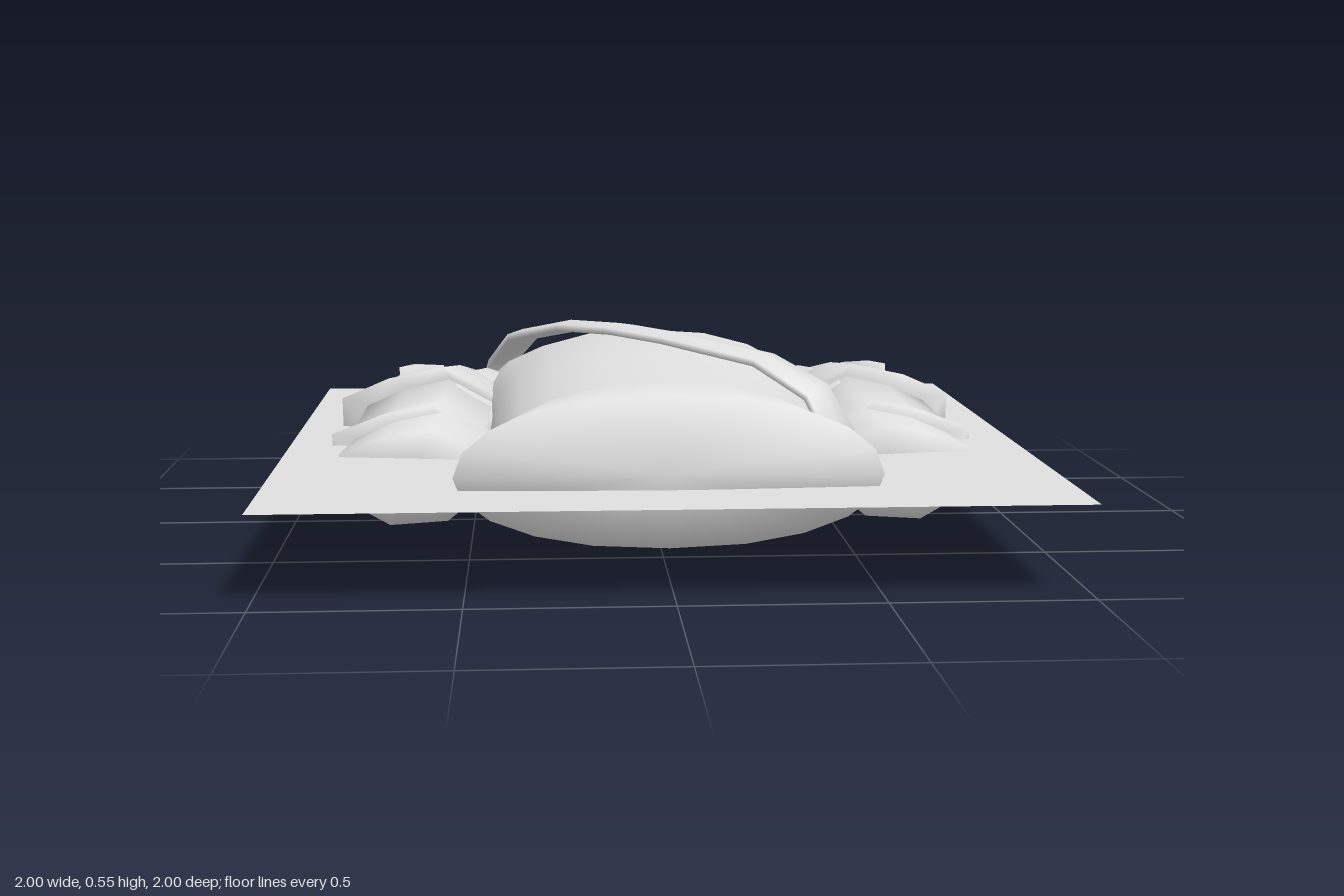
import * as THREE from 'three';

const cloth = new THREE.MeshStandardMaterial({ color: 0xe0e0e0, side: THREE.DoubleSide });
cloth.name = 'pale grey';

// Skin a list of cross-sections; capped at both ends, or joined into a loop.
function loft(name, rings, { flip = false, loop = false, caps = null } = {}) {
  const n = rings[0].length, pos = [], idx = [];
  const tri = (a, b, c) => idx.push(...(flip ? [a, c, b] : [a, b, c]));
  rings.forEach(r => r.forEach(p => pos.push(...p)));
  const last = loop ? rings.length : rings.length - 1;
  for (let i = 0; i < last; i++) {
    const k = (i + 1) % rings.length;
    for (let j = 0; j < n; j++) {
      const m = (j + 1) % n;
      tri(i * n + j, i * n + m, k * n + m);
      tri(i * n + j, k * n + m, k * n + j);
    }
  }
  if (!loop) {
    [rings[0], rings[rings.length - 1]].forEach((ring, e) => {
      const mid = caps?.[e] ?? [0, 1, 2].map(a => ring.reduce((s, p) => s + p[a], 0) / n);
      const c = pos.length / 3, base = e ? (rings.length - 1) * n : 0;
      pos.push(...mid);
      for (let j = 0; j < n; j++) {
        const a = base + j, b = base + (j + 1) % n;
        e ? tri(c, a, b) : tri(c, b, a);
      }
    });
  }
  const g = new THREE.BufferGeometry();
  g.setAttribute('position', new THREE.Float32BufferAttribute(pos, 3));
  g.setIndex(idx);
  g.computeVertexNormals();
  const mesh = new THREE.Mesh(g, cloth);
  mesh.name = name;
  return mesh;
}

// Torso section: z, half width, bottom, top, how far the neckline scoops in.
function torsoRing([z, w, yb, yt, dip]) {
  return Array.from({ length: 20 }, (_, i) => {
    const t = i / 20 * Math.PI * 2, c = Math.cos(t), s = Math.sin(t);
    const x = w * Math.sign(c) * Math.abs(c) ** 0.88;
    const y = 0.26 + s * (s > 0 ? yt - 0.26 : 0.26 - yb);
    const scoop = dip * (1 + 0.6 * s) * Math.max(0, 1 - (x / 0.27) ** 2);
    return [x, y, z + scoop + (dip ? 0.03 * Math.min(0, s) : 0)];
  });
}

// Sleeve outline, from the inner edge over the top to the outer edge.
const SLEEVE = [[0, 0.45], [0.1, 0.78], [0.4, 1], [0.72, 0.9], [1, 0.73], [1, 0.27], [0.68, 0], [0.3, 0.06]];
function sleeveRing(side, [z, xi, xo, yb, yt, slant = 0]) {
  return SLEEVE.map(([s, t]) => [
    side * (xi + (xo - xi) * s),
    yb + (yt - yb) * t,
    z + slant * (0.5 - s) + slant * 0.8 * (t - 0.5),
  ]);
}

function makeSleeve(side) {
  const g = new THREE.Group();
  g.name = side > 0 ? 'leftSleeve' : 'rightSleeve';
  const flip = side > 0;
  const part = (name, rows) => g.add(loft(name, rows.map(r => sleeveRing(side, r)), { flip }));
  part('sleeveTube', [
    [-0.56, 0.30, 0.55, 0.16, 0.33],
    [-0.45, 0.32, 0.70, 0.11, 0.37],
    [-0.25, 0.38, 0.78, 0.08, 0.38],
    [0.05, 0.42, 0.81, 0.06, 0.33],
    [0.29, 0.44, 0.85, 0.04, 0.31, 0.07],
  ]);
  // Two flared layers, each ending in a pointed outer edge
  part('upperFlare', [
    [-0.46, 0.36, 0.70, 0.12, 0.36],
    [-0.29, 0.38, 0.795, 0.08, 0.40],
    [-0.21, 0.40, 0.885, 0.05, 0.41, 0.07],
    [-0.18, 0.42, 0.79, 0.08, 0.38, 0.04],
  ]);
  part('lowerFlare', [
    [-0.20, 0.41, 0.81, 0.07, 0.38],
    [0.04, 0.42, 0.825, 0.06, 0.35],
    [0.09, 0.43, 0.885, 0.05, 0.34, 0.02],
    [0.11, 0.44, 0.81, 0.06, 0.32, 0.02],
  ]);
  // Upright pointed fin at the shoulder
  const fin = [[0.10, 0.3], [0.20, 1], [0.31, 1], [0.38, 0.2]].map(([y, k]) => [
    [side * 0.60, y, -0.44],
    [side * 0.73, y, -0.40],
    [side * (0.67 + 0.10 * k), y, -0.44 - 0.17 * k],
    [side * 0.64, y, -0.45 - 0.03 * k],
  ]);
  g.add(loft('shoulderPoint', fin, { flip: side < 0 }));
  return g;
}

// Belt running over one shoulder, across the chest and back underneath.
function makeStrap() {
  const path = [
    [0.47, 0.30, 0.39], [0.41, 0.41, 0.37], [0.28, 0.485, 0.29], [0.05, 0.522, 0.11], [-0.09, 0.529, -0.06],
    [-0.22, 0.52, -0.23], [-0.36, 0.47, -0.44], [-0.42, 0.38, -0.59], [-0.45, 0.28, -0.65],
    [-0.43, 0.15, -0.61], [-0.37, 0.07, -0.46], [-0.20, 0.022, -0.22], [-0.12, 0.018, -0.13],
    [0.05, 0.03, 0.10], [0.28, 0.055, 0.29], [0.41, 0.11, 0.36], [0.46, 0.19, 0.39],
  ];
  const across = new THREE.Vector3(0.75, 0, -0.66);
  const rings = path.map((p, i) => {
    const before = new THREE.Vector3(...path.at(i - 1));
    const after = new THREE.Vector3(...path[(i + 1) % path.length]);
    const dir = after.sub(before).normalize();
    const out = new THREE.Vector3().crossVectors(across, dir).normalize();
    const wide = new THREE.Vector3().crossVectors(dir, out);
    return Array.from({ length: 6 }, (_, j) => {
      const t = j / 6 * Math.PI * 2;
      return new THREE.Vector3(...p)
        .addScaledVector(out, 0.018 * Math.cos(t))
        .addScaledVector(wide, 0.062 * Math.sin(t)).toArray();
    });
  });
  return loft('strap', rings, { loop: true });
}

export function createModel() {
  const model = new THREE.Group();
  model.name = 'shirt';

  // Flat sheet cutting through the shirt at mid height
  const sheet = new THREE.Mesh(new THREE.PlaneGeometry(2, 2).rotateX(-Math.PI / 2), cloth);
  sheet.name = 'sheet';
  sheet.position.y = 0.23;
  model.add(sheet);

  // Torso from the scooped neck to the flared hem
  const torso = [
    [-0.765, 0.27, 0.08, 0.40, 0.10],
    [-0.72, 0.34, 0.07, 0.42, 0.09],
    [-0.62, 0.42, 0.05, 0.44, 0.03],
    [-0.54, 0.49, 0.045, 0.46, 0],
    [-0.30, 0.48, 0.04, 0.50, 0],
    [-0.05, 0.455, 0.035, 0.515, 0],
    [0.20, 0.445, 0.05, 0.495, 0],
    [0.54, 0.44, 0.07, 0.465, 0],
    [0.745, 0.53, 0.08, 0.46, 0],
  ].map(torsoRing);
  model.add(loft('torso', torso, { caps: [[0, 0.25, -0.67], [0, 0.27, 0.775]] }));

  for (const side of [1, -1]) model.add(makeSleeve(side));
  model.add(makeStrap());
  return model;
}
